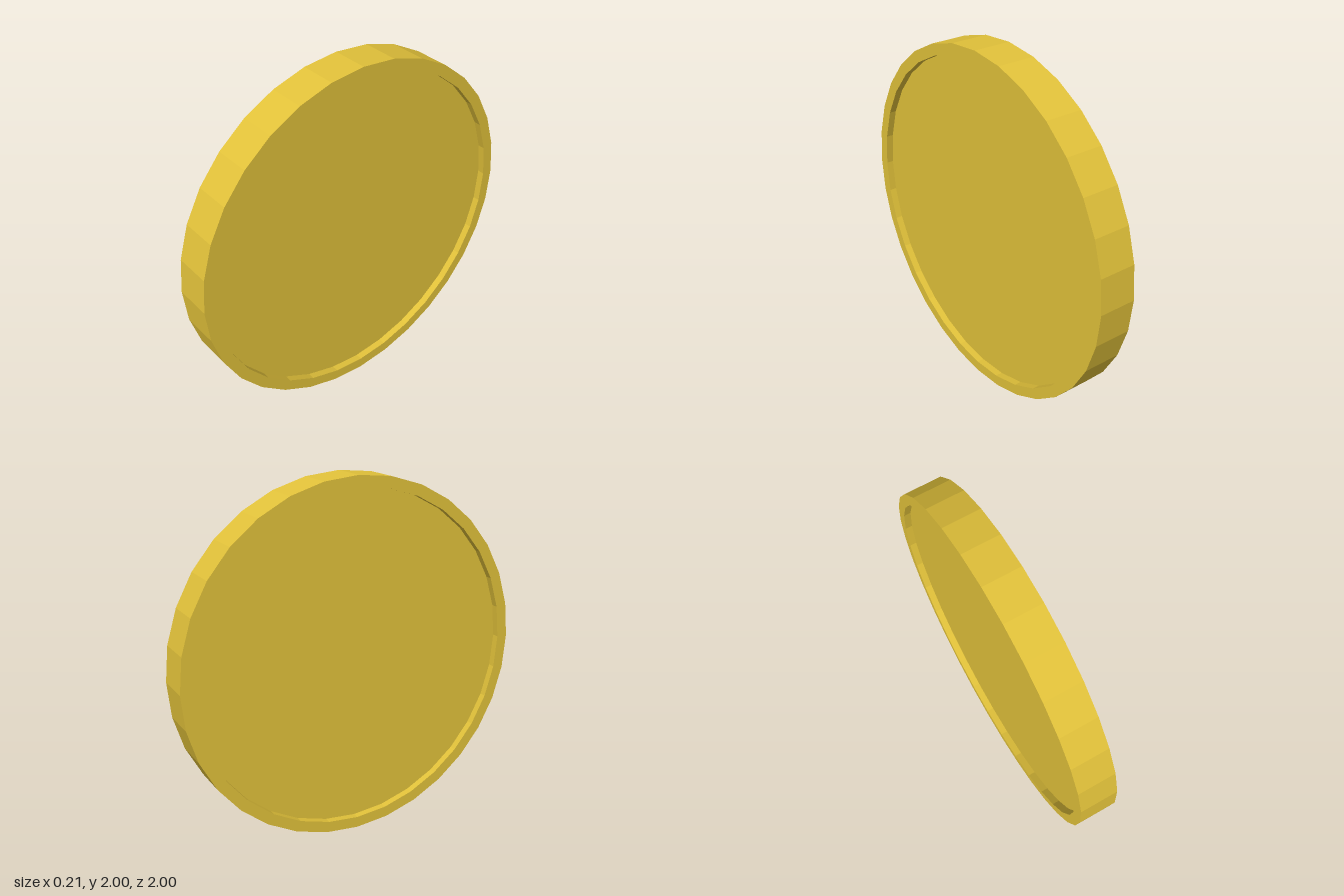
import * as THREE from 'three';

export function createModel() {
  const group = new THREE.Group();
  group.name = 'coin';

  const radius = 1, inner = 0.937, half = 0.105, recess = 0.04;
  const gold = new THREE.MeshStandardMaterial({ color: 0xe2c23a, flatShading: true });

  // Half section of the disc: recessed face, raised rim, edge, rim, recessed face
  const profile = [
    [0, -half + recess], [inner, -half + recess], [inner, -half], [radius, -half],
    [radius, half], [inner, half], [inner, half - recess], [0, half - recess],
  ].map(([r, y]) => new THREE.Vector2(r, y));

  // Turn the disc on edge so its faces look along x
  const geometry = new THREE.LatheGeometry(profile, 32);
  geometry.rotateZ(-Math.PI / 2);
  geometry.translate(0, radius, 0);

  const disc = new THREE.Mesh(geometry, gold);
  disc.name = 'rimmedDisc';
  group.add(disc);
  return group;
}
